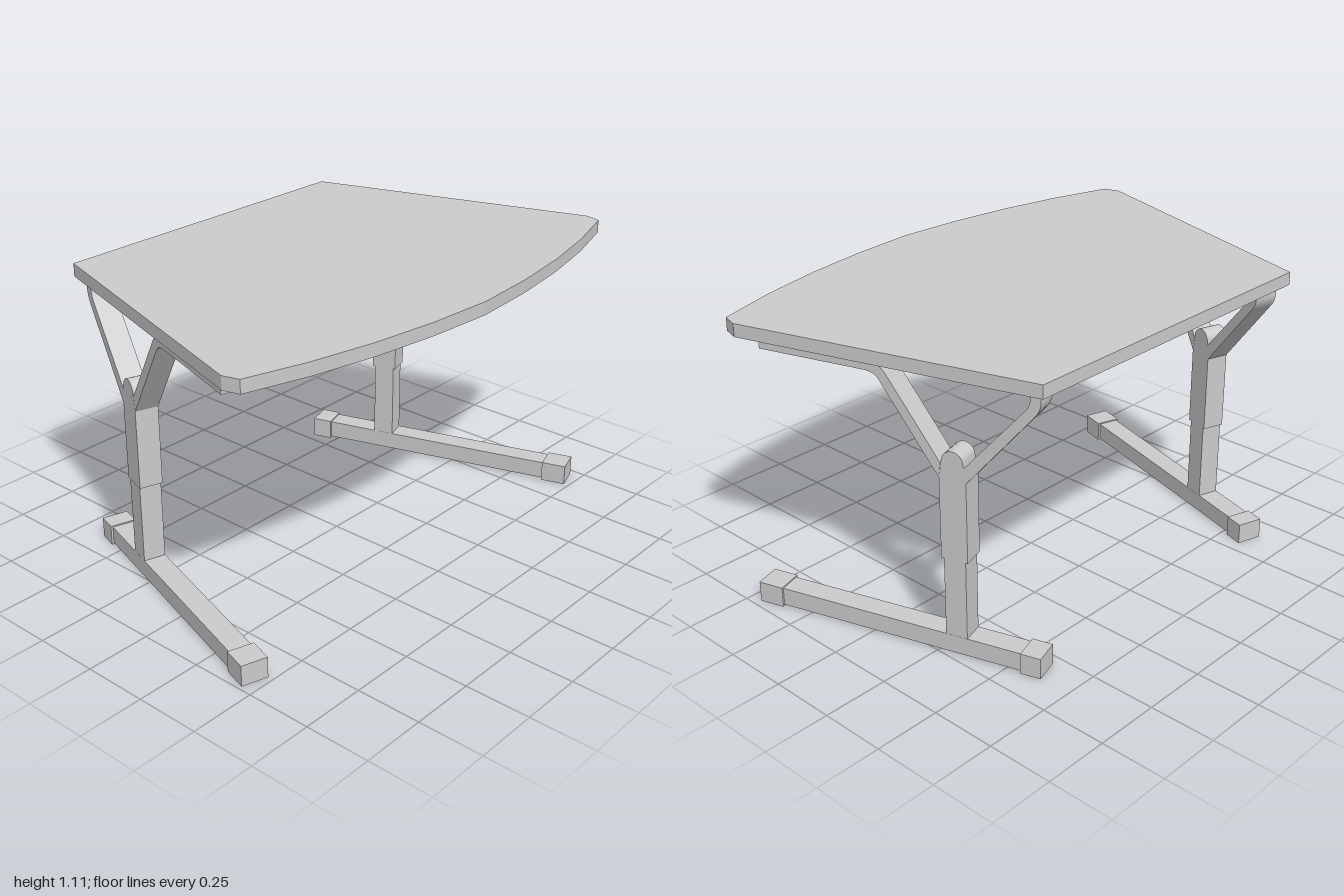
import * as THREE from 'three';

const material = new THREE.MeshStandardMaterial({ color: 0xcccccc, flatShading: true });
const SPLAY = Math.atan2(0.34, 1.08); // legs follow the slanted table sides
const POST_Z = -0.243;
const STEEL = 0.088; // width of the bent frame

function box(name, w, y0, y1, z0, z1) {
  const mesh = new THREE.Mesh(new THREE.BoxGeometry(w, y1 - y0, z1 - z0), material);
  mesh.name = name;
  mesh.position.set(0, (y0 + y1) / 2, (z0 + z1) / 2);
  return mesh;
}

// Extrudes a side profile drawn as (z, y) to a width centred on x = 0
function sideProfile(name, shape, width) {
  const geometry = new THREE.ExtrudeGeometry(shape, { depth: width, bevelEnabled: false, curveSegments: 6 });
  geometry.translate(0, 0, -width / 2);
  geometry.rotateY(-Math.PI / 2);
  const mesh = new THREE.Mesh(geometry, material);
  mesh.name = name;
  return mesh;
}

function upperPost() {
  const s = new THREE.Shape();
  s.moveTo(POST_Z - 0.05, 0.38);
  s.lineTo(POST_Z + 0.05, 0.38);
  s.lineTo(POST_Z + 0.05, 0.685);
  s.lineTo(POST_Z + 0.042, 0.738);
  s.lineTo(POST_Z + 0.04, 0.75);
  s.absarc(POST_Z, 0.75, 0.04, 0, Math.PI, false); // rounded head
  s.lineTo(POST_Z - 0.042, 0.738);
  s.lineTo(POST_Z - 0.05, 0.685);
  s.closePath();
  return sideProfile('upperPost', s, STEEL);
}

function frontArm() {
  const s = new THREE.Shape();
  s.moveTo(-0.193, 0.685);
  s.lineTo(0.018, 0.995);
  s.quadraticCurveTo(0.036, 1.02, 0.075, 1.02);
  s.lineTo(0.48, 1.02);
  s.lineTo(0.48, 1.066);
  s.lineTo(0.075, 1.066);
  s.quadraticCurveTo(0.02, 1.06, -0.008, 1.02);
  s.lineTo(-0.2, 0.74);
  s.closePath();
  return sideProfile('frontArm', s, STEEL);
}

function rearArm() {
  const s = new THREE.Shape();
  s.moveTo(-0.293, 0.682);
  s.lineTo(-0.283, 0.735);
  s.lineTo(-0.508, 0.992);
  s.quadraticCurveTo(-0.524, 1.012, -0.524, 1.035);
  s.lineTo(-0.524, 1.066);
  s.lineTo(-0.56, 1.066);
  s.lineTo(-0.56, 1.025);
  s.quadraticCurveTo(-0.56, 1.0, -0.54, 0.975);
  s.closePath();
  return sideProfile('rearArm', s, STEEL);
}

function leg(side) {
  const g = new THREE.Group();
  g.name = side > 0 ? 'leftLeg' : 'rightLeg';
  g.add(
    box('footBar', 0.084, 0.006, 0.075, -0.55, 0.55),
    box('frontFootCap', 0.1, 0, 0.08, 0.468, 0.565),
    box('rearFootCap', 0.1, 0, 0.08, -0.565, -0.488),
    box('lowerPost', 0.083, 0.07, 0.385, POST_Z - 0.041, POST_Z + 0.041),
    upperPost(), frontArm(), rearArm()
  );
  g.position.set(side * 0.762 - 0.007, 0, -0.075);
  g.rotation.y = side * SPLAY;
  return g;
}

// Trapezoid top with a bowed front edge
function tableTop() {
  const half = [[0.663, -0.663], [1, 0.42], [0.983, 0.482], [0.75, 0.552], [0.51, 0.604], [0.255, 0.64]];
  const outline = [...half, [0, 0.658], ...half.slice().reverse().map(([x, z]) => [-x, z])];
  const shape = new THREE.Shape(outline.map(([x, z]) => new THREE.Vector2(x, -z)));
  const geometry = new THREE.ExtrudeGeometry(shape, { depth: 0.049, bevelEnabled: false });
  geometry.rotateX(-Math.PI / 2);
  const mesh = new THREE.Mesh(geometry, material);
  mesh.name = 'tableTop';
  mesh.position.y = 1.065;
  return mesh;
}

export function createModel() {
  const model = new THREE.Group();
  model.name = 'table';
  model.add(tableTop(), leg(1), leg(-1));
  return model;
}
